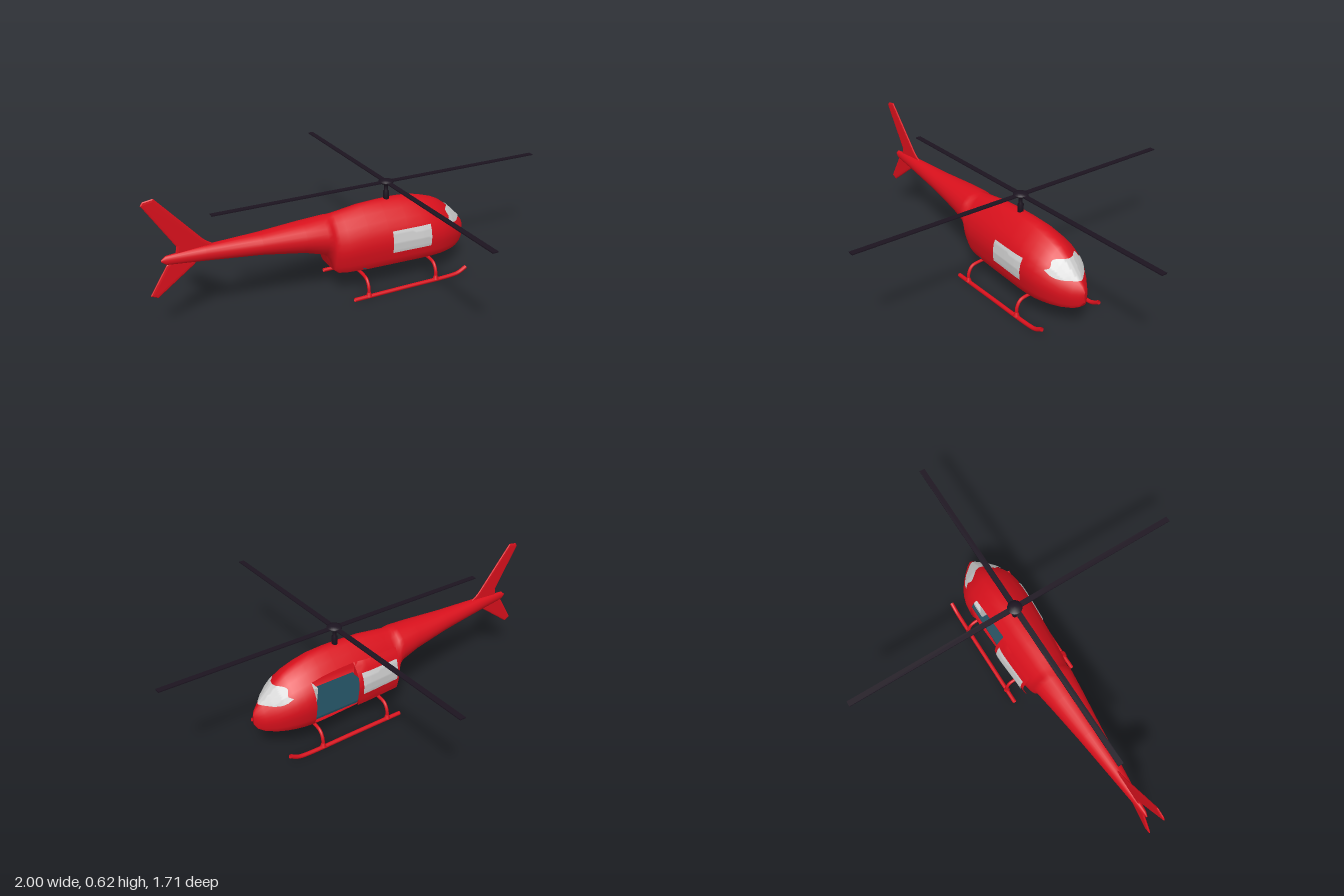
import * as THREE from 'three';
import { ParametricGeometry } from 'three/addons/geometries/ParametricGeometry.js';

const mat = (color) => new THREE.MeshStandardMaterial({ color, side: THREE.DoubleSide });
const RED = mat(0xd8101c), DARK = mat(0x1c1420), GLASS = mat(0xcccccc), TEAL = mat(0x1f4a5a);

// Fuselage stations: x, bottom, top, half width, roundness (0 cabin, 1 oval boom)
const STATIONS = [
  [-0.94, 0.327, 0.335, 0.003, 1], [-0.92, 0.31, 0.352, 0.01, 1], [-0.75, 0.293, 0.365, 0.03, 1],
  [-0.5, 0.267, 0.37, 0.058, 1], [-0.3, 0.235, 0.382, 0.084, 0.9], [-0.2, 0.208, 0.388, 0.097, 0.7],
  [-0.175, 0.185, 0.39, 0.101, 0.5], [-0.163, 0.13, 0.391, 0.103, 0.3], [-0.14, 0.112, 0.393, 0.107, 0.2],
  [-0.1, 0.11, 0.398, 0.115, 0.1], [0, 0.11, 0.412, 0.125, 0], [0.1, 0.11, 0.416, 0.132, 0],
  [0.2, 0.11, 0.416, 0.138, 0], [0.28, 0.11, 0.41, 0.143, 0], [0.34, 0.11, 0.395, 0.143, 0],
  [0.39, 0.11, 0.379, 0.137, 0], [0.43, 0.11, 0.36, 0.125, 0], [0.47, 0.11, 0.33, 0.107, 0],
  [0.51, 0.11, 0.292, 0.082, 0.05], [0.55, 0.115, 0.252, 0.05, 0.15], [0.575, 0.127, 0.226, 0.026, 0.3],
  [0.588, 0.15, 0.2, 0.004, 0.5],
];
// Cabin half section: width and height fractions, bottom to top
const CABIN = [[0, 0], [0.7, 0], [0.84, 0.03], [0.92, 0.15], [0.98, 0.3], [1, 0.42], [0.95, 0.55],
  [0.84, 0.66], [0.7, 0.76], [0.45, 0.88], [0.22, 0.97], [0, 1]];
const N = CABIN.length - 1;
const DOOR = { x0: 0.1, x1: 0.34, k0: 2, k1: 8, slide: 0.235 };

// Half section [z, y] points at any x
function section(x) {
  let i = 0;
  while (i < STATIONS.length - 2 && STATIONS[i + 1][0] < x) i++;
  const a = STATIONS[i], b = STATIONS[i + 1];
  const t = (x - a[0]) / (b[0] - a[0]);
  const [, lo, hi, w, r] = a.map((v, k) => v + (b[k] - v) * t);
  return CABIN.map(([cw, ch], k) => {
    const ang = (k / N) * Math.PI;
    return [w * (cw + (Math.sin(ang) - cw) * r), lo + (hi - lo) * (ch + ((1 - Math.cos(ang)) / 2 - ch) * r)];
  });
}

// Half width of the hull at x, y; -1 outside
function halfWidth(x, y) {
  const s = section(x);
  for (let k = 1; k < N; k++) {
    const [a, b] = [s[k], s[k + 1]];
    if (y >= a[1] && y <= b[1]) return a[0] + ((b[0] - a[0]) * (y - a[1])) / (b[1] - a[1] || 1);
  }
  return -1;
}

// Foremost x of the nose at y, z
function noseX(y, z) {
  let lo = 0.25, hi = 0.588;
  for (let n = 0; n < 30; n++) {
    const m = (lo + hi) / 2;
    if (halfWidth(m, y) > Math.abs(z)) lo = m; else hi = m;
  }
  return lo;
}

function fuselageGeometry() {
  const pos = [], idx = [], ring = 2 * N + 1;
  for (const [x] of STATIONS) {
    const s = section(x);
    for (let j = 0; j < ring; j++) {
      const [z, y] = s[j <= N ? j : 2 * N - j];
      pos.push(x, y, j <= N ? z : -z);
    }
  }
  for (let i = 0; i < STATIONS.length - 1; i++) {
    const inDoorX = STATIONS[i][0] >= DOOR.x0 && STATIONS[i + 1][0] <= DOOR.x1;
    for (let j = 0; j < ring - 1; j++) {
      const k = 2 * N - 1 - j;
      if (inDoorX && j >= N && k >= DOOR.k0 && k < DOOR.k1) continue; // open doorway
      const a = i * ring + j, b = a + ring;
      idx.push(a, b, b + 1, a, b + 1, a + 1);
    }
  }
  const g = new THREE.BufferGeometry();
  g.setAttribute('position', new THREE.Float32BufferAttribute(pos, 3));
  g.setIndex(idx);
  g.computeVertexNormals();
  return g;
}

// Patch following the hull side, lifted by off and slid back by slide
const sidePatch = (x0, x1, y0, y1, side, off, slide = 0) =>
  new ParametricGeometry((u, v, p) => {
    const x = x0 + (x1 - x0) * u, y = y0 + (y1 - y0) * v;
    p.set(x - slide, y, side * (halfWidth(x, y) + off));
  }, 12, 12);

export function createModel() {
  const model = new THREE.Group();
  const add = (name, geo, material, x = 0, y = 0, z = 0) => {
    const m = new THREE.Mesh(geo, material);
    m.name = name;
    m.position.set(x, y, z);
    model.add(m);
    return m;
  };
  const tube = (pts, r, n = 32) => new THREE.TubeGeometry(
    new THREE.CatmullRomCurve3(pts.map((p) => new THREE.Vector3(...p)), false, 'centripetal'), n, r, 10);

  add('fuselage', fuselageGeometry(), RED);

  // Windows and the slid-back door
  add('sideWindow', sidePatch(0.115, 0.32, 0.187, 0.295, 1, 0.004), GLASS);
  add('slidingDoor', sidePatch(DOOR.x0, DOOR.x1, 0.122, 0.34, -1, 0.002, DOOR.slide), RED);
  add('doorWindow', sidePatch(0.115, 0.32, 0.187, 0.295, -1, 0.006, DOOR.slide), GLASS);
  add('windshield', new ParametricGeometry((u, v, p) => {
    const s = u * 2 - 1;
    const y = 0.286 + (v * 2 - 1) * 0.038 * Math.sqrt(Math.max(0.02, 1 - s ** 6));
    const z = s * (0.102 - 0.025 * v);
    p.set(noseX(y, z) + 0.006, y, z * 1.02);
  }, 28, 12), GLASS);

  // Cabin interior
  add('cabinFloor', new THREE.BoxGeometry(0.44, 0.01, 0.21), TEAL, 0.19, 0.128, 0);
  add('rearBulkhead', new THREE.BoxGeometry(0.01, 0.2, 0.17), RED, -0.03, 0.23, 0);
  for (const z of [-0.055, 0.055]) {
    add('seatCushion', new THREE.BoxGeometry(0.075, 0.035, 0.075), GLASS, 0.36, 0.155, z);
    add('seatBack', new THREE.BoxGeometry(0.02, 0.13, 0.075), GLASS, 0.318, 0.215, z).rotation.z = 0.12;
  }

  // Swept tail fins
  const fin = (name, pts, curve) => {
    const s = new THREE.Shape();
    s.moveTo(...pts[0]);
    pts.slice(1).forEach((p) => s.lineTo(...p));
    if (curve) s.quadraticCurveTo(...curve);
    s.closePath();
    add(name, new THREE.ExtrudeGeometry(s, {
      depth: 0.002, bevelThickness: 0.004, bevelSize: 0.012, bevelOffset: -0.012, bevelSegments: 2,
    }), RED, 0, 0, -0.001);
  };
  fin('upperFin', [[-0.88, 0.33], [-0.87, 0.385], [-1, 0.595], [-0.99, 0.61], [-0.945, 0.617], [-0.76, 0.405]],
    [-0.73, 0.37, -0.66, 0.345]);
  fin('lowerFin', [[-0.88, 0.34], [-0.92, 0.305], [-1, 0.178], [-0.968, 0.163], [-0.8, 0.285], [-0.75, 0.335]]);

  // Skids with upturned tips, and their struts
  for (const s of [-1, 1]) {
    const z = s * 0.17;
    add('skid', tube([[-0.11, 0.012, z], [0.15, 0.012, z], [0.42, 0.012, z], [0.465, 0.018, z], [0.508, 0.04, z]],
      0.01, 48), RED);
  }
  for (const x of [-0.035, 0.333]) {
    add('skidStrut', tube([[x, 0.015, -0.17], [x, 0.06, -0.167], [x, 0.09, -0.148], [x, 0.1, -0.11], [x, 0.1, 0],
      [x, 0.1, 0.11], [x, 0.09, 0.148], [x, 0.06, 0.167], [x, 0.015, 0.17]], 0.008, 60), RED);
    add('strutMount', new THREE.CylinderGeometry(0.014, 0.014, 0.025, 12), DARK, x, 0.102, 0);
    for (const z of [-0.17, 0.17])
      add('strutFoot', new THREE.CylinderGeometry(0.008, 0.015, 0.02, 12), RED, x, 0.025, z);
  }

  // Rotor mast, hub and four blades
  const hub = [[0, 0.405], [0.014, 0.405], [0.014, 0.45], [0.009, 0.455], [0.009, 0.48], [0.02, 0.487],
    [0.035, 0.495], [0.035, 0.502], [0.018, 0.509], [0, 0.51]].map((p) => new THREE.Vector2(...p));
  add('rotorHub', new THREE.LatheGeometry(hub, 20), DARK, 0.145);
  for (let i = 0; i < 4; i++) {
    const blade = new THREE.BoxGeometry(0.845, 0.005, 0.027).translate(0.4325, 0, 0);
    add('rotorBlade', blade, DARK, 0.145, 0.497, 0).rotation.y = (i * Math.PI) / 2;
  }
  return model;
}
